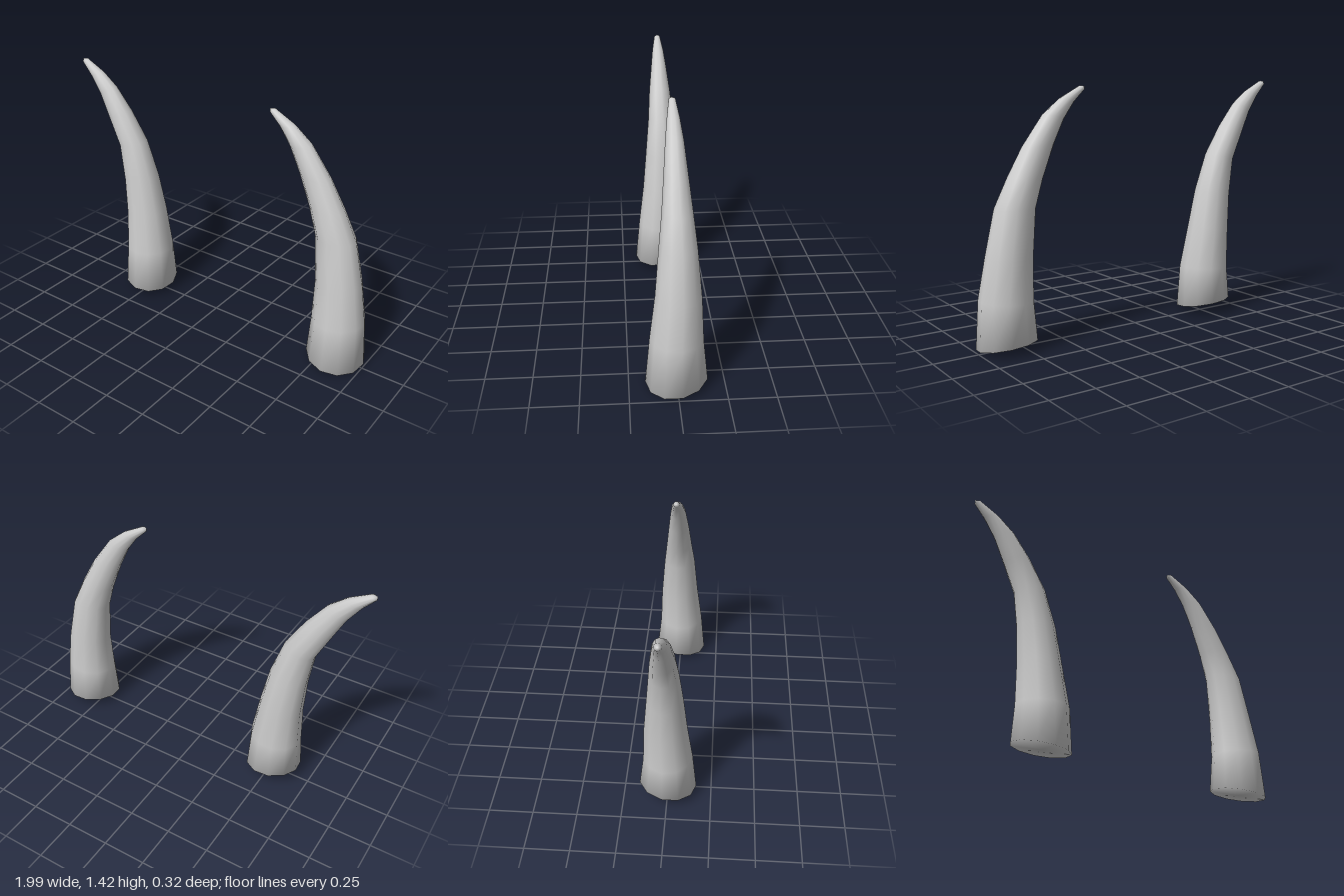
import * as THREE from 'three';

const SIDES = 11;
const PHASE = 0.12;

// Each section: [inner x, inner y, outer x, outer y, half depth in z, z centre]
const rightSections = [
  [-0.68, 0.08, -0.355, 0.05, 0.164, 0],
  [-0.67, 0.28, -0.37, 0.29, 0.14, 0],
  [-0.67, 0.51, -0.418, 0.54, 0.12, -0.01],
  [-0.685, 0.73, -0.465, 0.76, 0.1, -0.01],
  [-0.717, 0.94, -0.54, 0.98, 0.08, -0.01],
  [-0.79, 1.09, -0.645, 1.15, 0.066, -0.008],
  [-0.86, 1.23, -0.75, 1.285, 0.048, -0.007],
  [-0.93, 1.33, -0.845, 1.36, 0.035, -0.007],
  [-0.995, 1.4, -0.965, 1.424, 0.018, -0.007],
];
const leftSections = [
  [0.665, 0.05, 1.0, 0.02, 0.164, 0],
  [0.68, 0.26, 0.985, 0.28, 0.14, 0],
  [0.682, 0.5, 0.945, 0.51, 0.12, -0.01],
  [0.66, 0.76, 0.89, 0.76, 0.098, -0.01],
  [0.613, 0.91, 0.812, 0.92, 0.08, -0.01],
  [0.54, 1.09, 0.725, 1.075, 0.063, -0.008],
  [0.475, 1.22, 0.6, 1.245, 0.047, -0.007],
  [0.41, 1.31, 0.495, 1.33, 0.033, -0.007],
  [0.345, 1.373, 0.37, 1.397, 0.018, -0.007],
];

// Lofts a closed horn through the tilted elliptical sections
function makeHorn(name, sections) {
  const positions = [];
  const index = [];
  sections.forEach(([ix, iy, ox, oy, depth, zc], level) => {
    for (let i = 0; i < SIDES; i++) {
      const a = PHASE + (i / SIDES) * Math.PI * 2;
      const t = (1 + Math.cos(a)) / 2;
      const sag = level === 0 ? Math.sin(a) * 0.023 - 0.006 : 0; // base rim dips at the front
      positions.push(ix + (ox - ix) * t, iy + (oy - iy) * t + sag, zc - Math.sin(a) * depth);
    }
  });
  for (let level = 0; level < sections.length - 1; level++) {
    for (let i = 0; i < SIDES; i++) {
      const a = level * SIDES + i;
      const b = level * SIDES + ((i + 1) % SIDES);
      index.push(a, b, b + SIDES, a, b + SIDES, a + SIDES);
    }
  }

  // Base cap and rounded tip share the rim vertices, so shading stays smooth
  const first = sections[0];
  const last = sections[sections.length - 1];
  const base = positions.length / 3;
  const tip = base + 1;
  positions.push((first[0] + first[2]) / 2, (first[1] + first[3]) / 2 - 0.008, 0);
  positions.push((last[0] + last[2]) / 2 - 0.016, (last[1] + last[3]) / 2 + 0.008, last[5]);
  const top = (sections.length - 1) * SIDES;
  for (let i = 0; i < SIDES; i++) {
    const j = (i + 1) % SIDES;
    index.push(base, j, i);
    index.push(tip, top + i, top + j);
  }

  const geometry = new THREE.BufferGeometry();
  geometry.setAttribute('position', new THREE.Float32BufferAttribute(positions, 3));
  geometry.setIndex(index);
  geometry.computeVertexNormals();
  const mesh = new THREE.Mesh(geometry, new THREE.MeshStandardMaterial({ color: 0xcccccc }));
  mesh.name = name;
  return mesh;
}

export function createModel() {
  const group = new THREE.Group();
  group.name = 'horns';
  group.add(makeHorn('rightHorn', rightSections), makeHorn('leftHorn', leftSections));
  return group;
}
